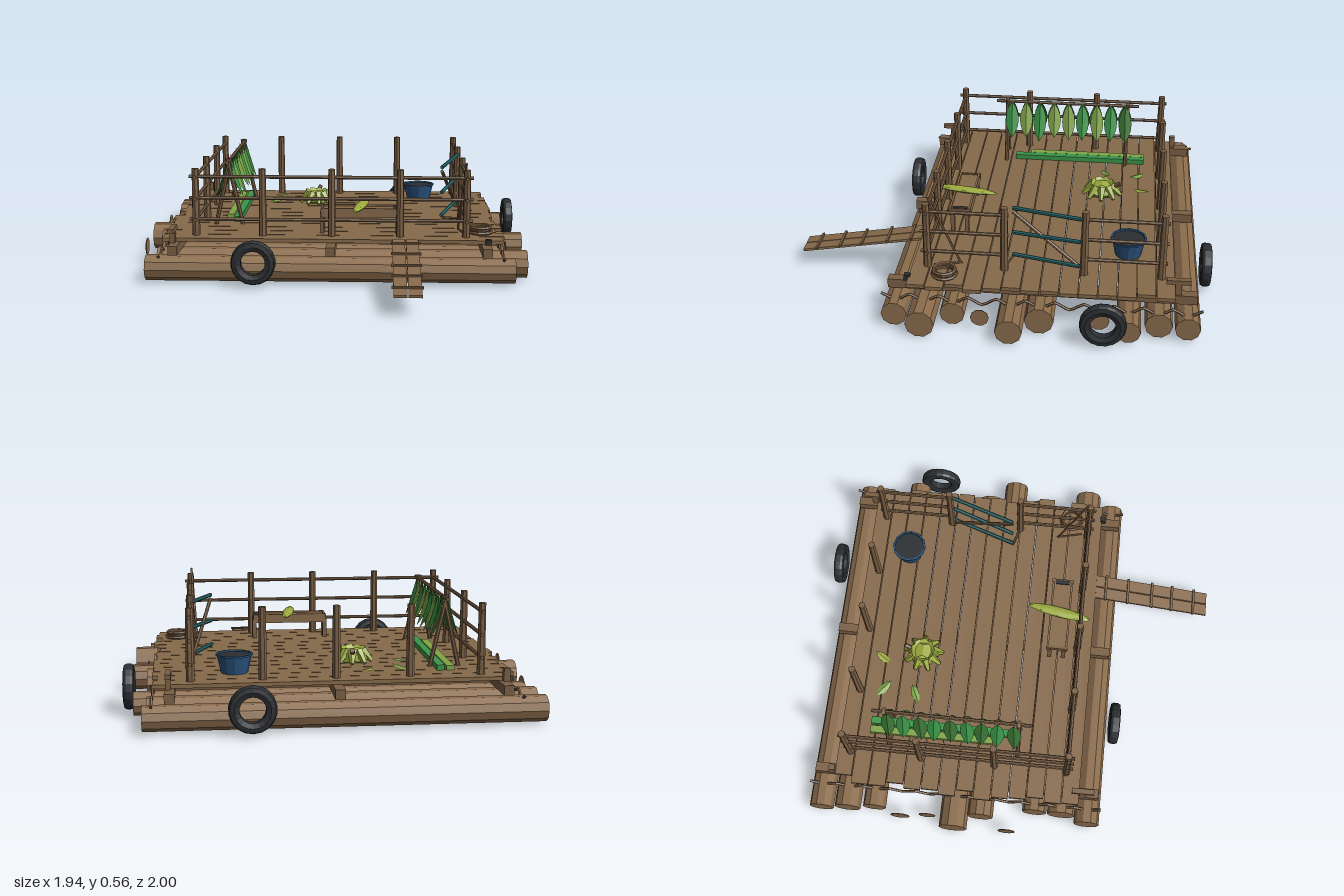
import * as THREE from 'three';

const mat = (name, color, side = THREE.FrontSide) => {
  const m = new THREE.MeshStandardMaterial({ color, flatShading: true, side });
  m.name = name;
  return m;
};
const V = (x, y, z) => new THREE.Vector3(x, y, z);

export function createModel() {
  const root = new THREE.Group();
  root.name = 'raft';
  const logWood = mat('log wood', 0x8b6c4c, THREE.DoubleSide);
  const deckWood = mat('deck wood', 0x876a4b);
  const poleWood = mat('pole wood', 0x7a5f44);
  const rubber = mat('rubber', 0x2b2e32);
  const blue = mat('bucket blue', 0x2b5580, THREE.DoubleSide);
  const teal = mat('teal paint', 0x28676b);
  const darkLeaf = mat('dark leaf', 0x3a7434, THREE.DoubleSide);
  const greenLeaf = mat('green leaf', 0x3b9649, THREE.DoubleSide);
  const oliveLeaf = mat('olive leaf', 0x7fa547, THREE.DoubleSide);
  const lime = mat('lime fruit', 0x9dac40, THREE.DoubleSide);

  let seed = 7;
  const rnd = () => (seed = (seed * 16807) % 2147483647) / 2147483647;

  const group = (name) => {
    const g = new THREE.Group();
    g.name = name;
    root.add(g);
    return g;
  };
  const add = (parent, name, geo, material, x = 0, y = 0, z = 0) => {
    const m = new THREE.Mesh(geo, material);
    m.name = name;
    m.position.set(x, y, z);
    parent.add(m);
    return m;
  };
  const box = (parent, name, w, h, d, material, x, y, z) =>
    add(parent, name, new THREE.BoxGeometry(w, h, d), material, x, y, z);
  // Round bar between two points
  const pole = (parent, name, a, b, r, material = poleWood, sides = 7, r2 = r) => {
    const m = add(parent, name, new THREE.CylinderGeometry(r2, r, a.distanceTo(b), sides), material);
    m.position.copy(a).add(b).multiplyScalar(0.5);
    m.quaternion.setFromUnitVectors(V(0, 1, 0), b.clone().sub(a).normalize());
    return m;
  };
  // Pointed leaf folded along its midrib, running from a to b
  const leaf = (parent, name, a, b, width, material, facing, fold = 0.35) => {
    const len = a.distanceTo(b);
    const geo = new THREE.PlaneGeometry(1, 1, 2, 6);
    const p = geo.attributes.position;
    for (let i = 0; i < p.count; i++) {
      const t = p.getY(i) + 0.5;
      const x = p.getX(i) * width * Math.pow(Math.sin(Math.PI * t), 0.8);
      p.setXYZ(i, x, p.getY(i) * len, -Math.abs(x) * fold);
    }
    const m = add(parent, name, geo, material);
    const yAxis = b.clone().sub(a).normalize();
    const xAxis = yAxis.clone().cross(facing).normalize();
    m.quaternion.setFromRotationMatrix(
      new THREE.Matrix4().makeBasis(xAxis, yAxis, xAxis.clone().cross(yAxis)));
    m.position.copy(a).add(b).multiplyScalar(0.5);
    return m;
  };

  // Floating logs: z, left end, right end, radius
  const logs = group('logs');
  [[-0.88, -0.93, 0.86, 0.058], [-0.75, -0.92, 0.845, 0.063], [-0.615, -0.905, 0.91, 0.055],
    [-0.21, -0.97, 0.865, 0.067], [-0.08, -0.9, 0.965, 0.062], [0.19, -0.85, 0.845, 0.058],
    [0.325, -0.85, 0.945, 0.067], [0.455, -0.885, 0.875, 0.06],
  ].forEach(([z, x0, x1, r]) =>
    pole(logs, 'log', V(x0, 0.08, z), V(x1, 0.08, z), r + 0.003, logWood, 10, r));
  box(logs, 'logEndMark', 0.1, 0.005, 0.05, logWood, 0.3, 0.018, -0.21);
  // Loose log slices
  [[-0.935, -0.48, 0.048], [-0.92, -0.345, 0.042], [-0.96, 0.06, 0.043],
    [0.84, -0.48, 0.048], [0.87, 0.06, 0.043],
  ].forEach(([x, z, r]) => pole(logs, 'logSlice', V(x - 0.002, 0.085, z), V(x + 0.002, 0.085, z), r, logWood, 10));

  // Cross beams and lashing ropes
  const frame = group('frame');
  for (const x of [-0.75, 0, 0.74]) box(frame, 'crossBeam', 0.045, 0.045, 1.42, poleWood, x, 0.172, -0.21);
  for (const x of [-0.82, 0.82]) {
    const pts = [];
    for (let i = 0; i <= 44; i++)
      pts.push(V(x, 0.14 + 0.017 * Math.cos((i / 44) * 22 * Math.PI), -0.945 + (i / 44) * 1.465));
    add(frame, 'lashingRope', new THREE.TubeGeometry(new THREE.CatmullRomCurve3(pts), 88, 0.007, 5), poleWood);
  }

  // Deck planks
  const deck = group('deck');
  for (let i = 0; i < 14; i++) {
    const len = 1.6 + rnd() * 0.06;
    box(deck, 'plank', len, 0.018, 0.083, deckWood, (rnd() - 0.5) * 0.04, 0.203, -0.776 + i * 0.0875);
  }

  // Railing
  const railing = group('railing');
  const post = (x, z) => pole(railing, 'post', V(x, 0.19, z), V(x, 0.54, z), 0.02, poleWood, 7, 0.017);
  for (const x of [-0.66, -0.335, 0, 0.33, 0.65]) for (const z of [-0.755, 0.33]) post(x, z);
  for (const x of [-0.66, 0.65]) for (const z of [-0.4, -0.03]) post(x, z);
  for (const y of [0.29, 0.395, 0.5]) {
    pole(railing, 'frontRail', V(-0.69, y, 0.33), V(0.68, y, 0.33), 0.009);
    pole(railing, 'rightRail', V(-0.66, y, -0.78), V(-0.66, y, 0.36), 0.009);
    pole(railing, 'leftRailBack', V(0.65, y, -0.78), V(0.65, y, -0.38), 0.009);
    pole(railing, 'leftRailFront', V(0.65, y, -0.05), V(0.65, y, 0.36), 0.009);
  }
  // Swung-open gate in the left railing
  [[0.5, 0.485], [0.38, 0.355], [0.25, 0.235]].forEach(([y0, y1]) =>
    pole(railing, 'gateBar', V(0.65, y0, -0.38), V(0.55, y1, -0.06), 0.01, teal));
  pole(railing, 'gateBrace', V(0.64, 0.24, -0.38), V(0.55, 0.465, -0.06), 0.009);
  pole(railing, 'leaningStick', V(0.62, 0.22, 0.18), V(0.645, 0.57, 0.32), 0.006, poleWood, 5);
  pole(railing, 'gateFoot', V(0.55, 0.225, -0.06), V(0.65, 0.225, -0.03), 0.006, poleWood, 5);

  // Mooring cleats and short posts
  const cleats = group('cleats');
  for (const [x, z] of [[-0.76, 0.42], [0.745, -0.83]]) {
    box(cleats, 'cleatStem', 0.025, 0.075, 0.03, poleWood, x, 0.22, z);
    box(cleats, 'cleatBar', 0.026, 0.022, 0.11, poleWood, x, 0.26, z);
  }
  box(cleats, 'shortPost', 0.03, 0.07, 0.03, poleWood, -0.76, 0.22, -0.83);
  box(cleats, 'darkPost', 0.028, 0.03, 0.028, rubber, 0.75, 0.205, 0.41);

  // Coiled rope
  const coil = group('ropeCoil');
  [0.055, 0.047, 0.05].forEach((r, i) => {
    add(coil, 'coilLoop', new THREE.TorusGeometry(r, 0.008, 5, 14), poleWood, 0.725, 0.22 + i * 0.012, 0.24)
      .rotation.x = Math.PI / 2;
  });
  pole(coil, 'ropeTail', V(0.62, 0.218, 0.17), V(0.65, 0.218, 0.3), 0.005, poleWood, 5);

  // Drying rack with hanging leaves
  const rack = group('leafRack');
  pole(rack, 'ridgePole', V(-0.53, 0.535, -0.63), V(-0.53, 0.535, 0.14), 0.009);
  for (const z of [-0.57, 0.08]) for (const s of [-1, 1])
    pole(rack, 'rackLeg', V(-0.53 + s * 0.068, 0.21, z), V(-0.53 - s * 0.008, 0.55, z), 0.011);
  const leafColours = [greenLeaf, oliveLeaf, greenLeaf, oliveLeaf, oliveLeaf, greenLeaf, oliveLeaf, greenLeaf, darkLeaf];
  for (let i = 0; i < 9; i++) for (const s of [-1, 1]) {
    const z = 0.055 - i * 0.0765;
    const drop = 0.18 + rnd() * 0.03;
    leaf(rack, 'hangingLeaf', V(-0.53 + s * 0.012, 0.54, z), V(-0.53 + s * 0.07, 0.54 - drop, z + (rnd() - 0.5) * 0.02),
      0.07, s > 0 ? leafColours[i] : i % 2 ? greenLeaf : darkLeaf, V(s, 0.3, 0));
  }
  // Green stalks stacked below the rack
  box(rack, 'stalk', 0.036, 0.022, 0.62, oliveLeaf, -0.54, 0.224, -0.36);
  box(rack, 'stalk', 0.036, 0.026, 0.7, greenLeaf, -0.495, 0.226, -0.32);

  // Fruit bunch with loose leaves
  const fruit = group('fruitBunch');
  const heart = add(fruit, 'bunchHeart', new THREE.DodecahedronGeometry(0.08, 0), lime, -0.115, 0.245, -0.455);
  heart.scale.set(1, 0.5, 1.05);
  for (let i = 0; i < 9; i++) {
    const a = (i / 9) * Math.PI * 2;
    const c = Math.cos(a), s = Math.sin(a);
    pole(fruit, 'fruit', V(-0.115 + c * 0.045, 0.275, -0.455 + s * 0.045),
      V(-0.115 + c * 0.092, 0.225, -0.455 + s * 0.1), 0.024, lime, 5, 0.01);
  }
  pole(fruit, 'bunchStem', V(-0.11, 0.26, -0.5), V(-0.1, 0.29, -0.55), 0.012);
  const up = V(0, 1, 0);
  leaf(fruit, 'looseLeaf', V(-0.36, 0.22, -0.67), V(-0.28, 0.235, -0.6), 0.045, oliveLeaf, up);
  leaf(fruit, 'looseLeaf', V(-0.18, 0.22, -0.62), V(-0.13, 0.235, -0.7), 0.04, lime, up);
  leaf(fruit, 'looseLeaf', V(-0.38, 0.22, -0.45), V(-0.29, 0.235, -0.49), 0.04, oliveLeaf, up);

  // Bench
  const bench = group('bench');
  box(bench, 'benchTop', 0.37, 0.015, 0.085, deckWood, 0.137, 0.322, 0.225);
  for (const z of [0.178, 0.272]) box(bench, 'benchApron', 0.38, 0.045, 0.01, deckWood, 0.135, 0.315, z);
  for (const x of [-0.05, 0.32]) {
    box(bench, 'benchEnd', 0.012, 0.025, 0.11, poleWood, x, 0.322, 0.225);
    for (const z of [0.19, 0.26]) box(bench, 'benchLeg', 0.02, 0.11, 0.02, poleWood, x, 0.26, z);
  }
  box(bench, 'benchSlot', 0.022, 0.006, 0.07, rubber, 0.31, 0.333, 0.225);
  const big = add(bench, 'bigLeaf', new THREE.OctahedronGeometry(1, 2), lime, 0.14, 0.342, 0.22);
  big.scale.set(0.028, 0.014, 0.165);
  big.rotation.y = -0.17;

  // Bucket
  const bucket = group('bucket');
  const side = new THREE.LatheGeometry(
    [[0, 0], [0.062, 0], [0.08, 0.08], [0.086, 0.08], [0.086, 0.088], [0.077, 0.088], [0.073, 0.05]]
      .map(([x, y]) => new THREE.Vector2(x, y)), 12);
  add(bucket, 'bucketShell', side, blue, 0.45, 0.212, -0.6);
  add(bucket, 'bucketFill', new THREE.CylinderGeometry(0.076, 0.076, 0.006, 12), rubber, 0.45, 0.29, -0.6);

  // Fender tyres
  const tyres = group('tyres');
  const profile = [[0.058, -0.018], [0.08, -0.026], [0.1, -0.022], [0.106, -0.01], [0.106, 0.01],
    [0.1, 0.022], [0.08, 0.026], [0.058, 0.018], [0.058, -0.018]].map(([x, y]) => new THREE.Vector2(x, y));
  const tyreGeo = new THREE.LatheGeometry(profile, 18);
  add(tyres, 'frontTyre', tyreGeo, rubber, -0.36, 0.132, 0.555).rotation.x = Math.PI / 2;
  add(tyres, 'backTyre', tyreGeo, rubber, 0.385, 0.132, -0.975).rotation.x = Math.PI / 2;
  add(tyres, 'leftTyre', tyreGeo, rubber, 0.935, 0.132, -0.5).rotation.z = Math.PI / 2;

  // Gangplank
  const gang = group('gangplank');
  gang.position.set(0.355, 0.157, 0.7);
  gang.rotation.x = 0.17;
  for (const s of [-1, 1]) box(gang, 'gangBoard', 0.06, 0.012, 0.605, deckWood, s * 0.0325, 0, 0);
  for (const z of [-0.25, -0.13, 0, 0.11, 0.23]) box(gang, 'gangCleat', 0.14, 0.01, 0.012, poleWood, 0, 0.009, z);

  return root;
}
